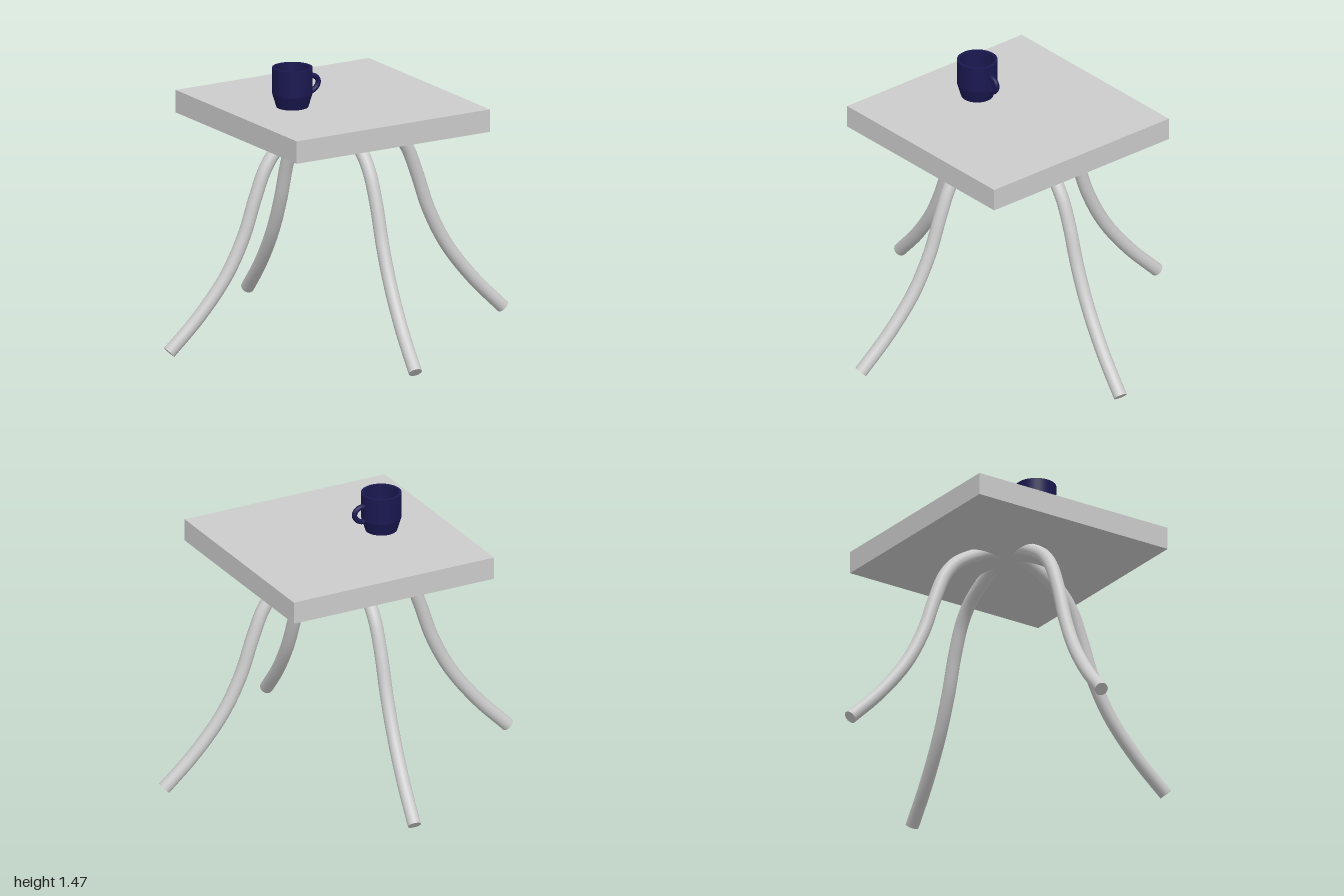
import * as THREE from 'three';

const grey = new THREE.MeshStandardMaterial({ color: 0xcccccc });
const navy = new THREE.MeshStandardMaterial({ color: 0x1a1850, side: THREE.DoubleSide });

function addMesh(parent, name, geometry, material) {
  const mesh = new THREE.Mesh(geometry, material);
  mesh.name = name;
  parent.add(mesh);
  return mesh;
}

// Curved tubular leg running outward along +x; shift moves it outward
function createLeg(name, shift) {
  const leg = new THREE.Group();
  leg.name = name;
  const radius = 0.035;
  // outward distance, height, sideways drift
  const path = [
    [0.03, 1.178, 0.01], [0.13, 1.155, 0.01], [0.23, 1.107, 0.01], [0.33, 1.04, 0.01],
    [0.4, 0.95, 0.01], [0.462, 0.8, 0.01], [0.53, 0.6, 0.015], [0.63, 0.4, 0.027],
    [0.78, 0.2, 0.05], [0.945, 0.028, 0.075],
  ].map(([x, y, z]) => new THREE.Vector3(x + shift, y, z));
  const curve = new THREE.CatmullRomCurve3(path);
  addMesh(leg, 'legTube', new THREE.TubeGeometry(curve, 64, radius, 20), grey);

  // flat caps at both ends
  for (const t of [0, 1]) {
    const cap = addMesh(leg, 'legCap', new THREE.CircleGeometry(radius, 20), grey);
    const outward = curve.getTangentAt(t).multiplyScalar(t ? 1 : -1);
    cap.position.copy(curve.getPointAt(t));
    cap.quaternion.setFromUnitVectors(new THREE.Vector3(0, 0, 1), outward);
  }
  return leg;
}

function createMug() {
  const mug = new THREE.Group();
  mug.name = 'mug';

  // Tapered foot, straight wall and hollow inside; each run is lathed apart to keep edges sharp
  const profile = [
    [0, 0], [0.083, 0], [0.104, 0.07], [0.105, 0.21], [0.09, 0.21], [0.089, 0.075], [0.072, 0.015], [0, 0.015],
  ].map(([x, y]) => new THREE.Vector2(x, y));
  for (let i = 0; i < profile.length - 1; i++) {
    addMesh(mug, 'mugWall', new THREE.LatheGeometry([profile[i], profile[i + 1]], 40), navy);
  }

  // Ear-shaped handle on the left side
  const handlePath = new THREE.CatmullRomCurve3([
    [0.095, 0.15], [0.125, 0.148], [0.15, 0.132], [0.157, 0.11], [0.148, 0.088], [0.125, 0.07], [0.095, 0.064],
  ].map(([x, y]) => new THREE.Vector3(x, y, 0)));
  addMesh(mug, 'mugHandle', new THREE.TubeGeometry(handlePath, 32, 0.014, 12), navy);
  return mug;
}

export function createModel() {
  const table = new THREE.Group();
  table.name = 'table';

  // Thick square top
  const top = addMesh(table, 'tableTop', new THREE.BoxGeometry(1.175, 0.12, 1.18), grey);
  top.position.set(-0.027, 1.2, 0.01);

  // Four legs around the centre
  const legs = [['leftLeg', 0.045], ['frontLeg', -0.015], ['rightLeg', 0], ['backLeg', 0]];
  legs.forEach(([name, shift], i) => {
    const leg = createLeg(name, shift);
    leg.position.set(-0.03, 0, 0.01);
    leg.rotation.y = -i * Math.PI / 2;
    table.add(leg);
  });

  const mug = createMug();
  mug.position.set(-0.273, 1.26, 0.01);
  table.add(mug);
  return table;
}
